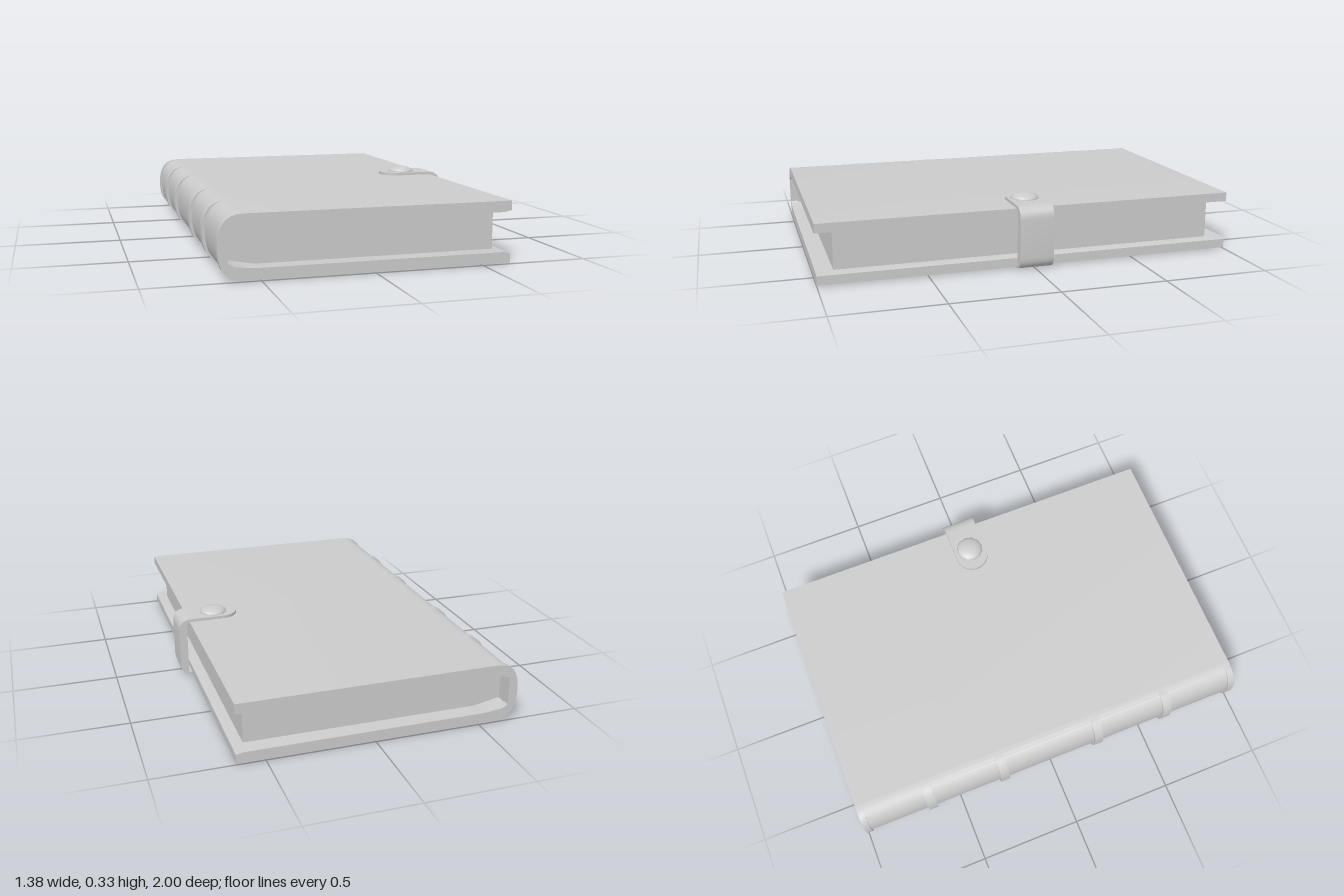
import * as THREE from 'three';
import { toCreasedNormals } from 'three/addons/utils/BufferGeometryUtils.js';

const material = new THREE.MeshStandardMaterial({ color: 0xcccccc });
const MID = 0.145; // mid height of the covers

function add(group, name, geometry) {
  const mesh = new THREE.Mesh(geometry, material);
  mesh.name = name;
  group.add(mesh);
  return mesh;
}

// Extrude a side profile along z, centred on the given z
function extrudeZ(shape, length, z = 0, curveSegments = 8) {
  const geometry = new THREE.ExtrudeGeometry(shape, { depth: length, bevelEnabled: false, curveSegments });
  geometry.translate(0, 0, z - length / 2);
  return toCreasedNormals(geometry, 0.6);
}

// Rounded spine curve from the top cover to the bottom one
function spineCurve(shape, xEnd, xOuter, halfHeight) {
  shape.bezierCurveTo(xEnd - 0.06, MID + halfHeight, xOuter, MID + halfHeight * 0.75, xOuter, MID);
  shape.bezierCurveTo(xOuter, MID - halfHeight * 0.75, xEnd - 0.06, MID - halfHeight, xEnd, MID - halfHeight);
}

export function createModel() {
  const book = new THREE.Group();
  book.name = 'book';

  // Covers and spine in one folded piece
  const cover = new THREE.Shape();
  cover.moveTo(0.63, 0.285);
  cover.lineTo(-0.57, 0.285);
  spineCurve(cover, -0.57, -0.675, 0.14);
  cover.lineTo(0.63, 0.005);
  const inner = [[0.63, 0.048], [0.6, 0.055], [-0.53, 0.055], [-0.61, 0.064], [-0.64, 0.077]];
  inner.forEach(([x, y]) => cover.lineTo(x, y));
  [...inner].reverse().forEach(([x, y]) => cover.lineTo(x, 2 * MID - y));
  cover.closePath();
  add(book, 'cover', extrudeZ(cover, 2));

  // Page block, tapered towards the spine
  const pages = new THREE.Shape([
    [0.58, 0.052], [0.58, 0.238], [-0.5, 0.238], [-0.645, 0.209], [-0.645, 0.081], [-0.5, 0.052],
  ].map(([x, y]) => new THREE.Vector2(x, y)));
  add(book, 'pages', extrudeZ(pages, 1.84));

  // Raised bands across the spine, narrower at the two ends
  const bands = new THREE.Group();
  bands.name = 'spineBands';
  book.add(bands);
  const bandList = [
    [-0.985, 0.03, -0.684], [-0.65, 0.045, -0.69], [-0.265, 0.045, -0.69],
    [0.245, 0.045, -0.69], [0.622, 0.045, -0.69], [0.983, 0.034, -0.684],
  ];
  for (const [z, width, xOuter] of bandList) {
    const band = new THREE.Shape();
    band.moveTo(-0.58, MID + 0.139);
    spineCurve(band, -0.58, xOuter, 0.139);
    band.lineTo(-0.65, MID - 0.05);
    band.lineTo(-0.65, MID + 0.05);
    band.closePath();
    add(bands, 'spineBand', extrudeZ(band, width, z));
  }

  // Strap wrapping from under the book over the fore edge
  const strap = new THREE.Shape();
  strap.moveTo(-0.55, 0);
  strap.lineTo(0.62, 0);
  strap.quadraticCurveTo(0.685, 0, 0.685, 0.06);
  strap.lineTo(0.685, 0.24);
  strap.quadraticCurveTo(0.685, 0.299, 0.62, 0.299);
  strap.lineTo(0.46, 0.299);
  strap.lineTo(0.46, 0.28);
  strap.lineTo(0.645, 0.28);
  strap.lineTo(0.645, 0.015);
  strap.lineTo(-0.55, 0.015);
  strap.closePath();
  add(book, 'strap', extrudeZ(strap, 0.164));

  // Rounded tip of the strap
  const tip = new THREE.CylinderGeometry(0.082, 0.082, 0.019, 24, 1, false, Math.PI, Math.PI);
  add(book, 'strapTip', tip).position.set(0.46, 0.2895, 0);

  // Domed snap button
  const dome = new THREE.SphereGeometry(0.068, 12, 5, 0, Math.PI * 2, 0, Math.PI / 2);
  dome.scale(1, 0.4, 1);
  add(book, 'button', dome).position.set(0.495, 0.298, 0);

  return book;
}
